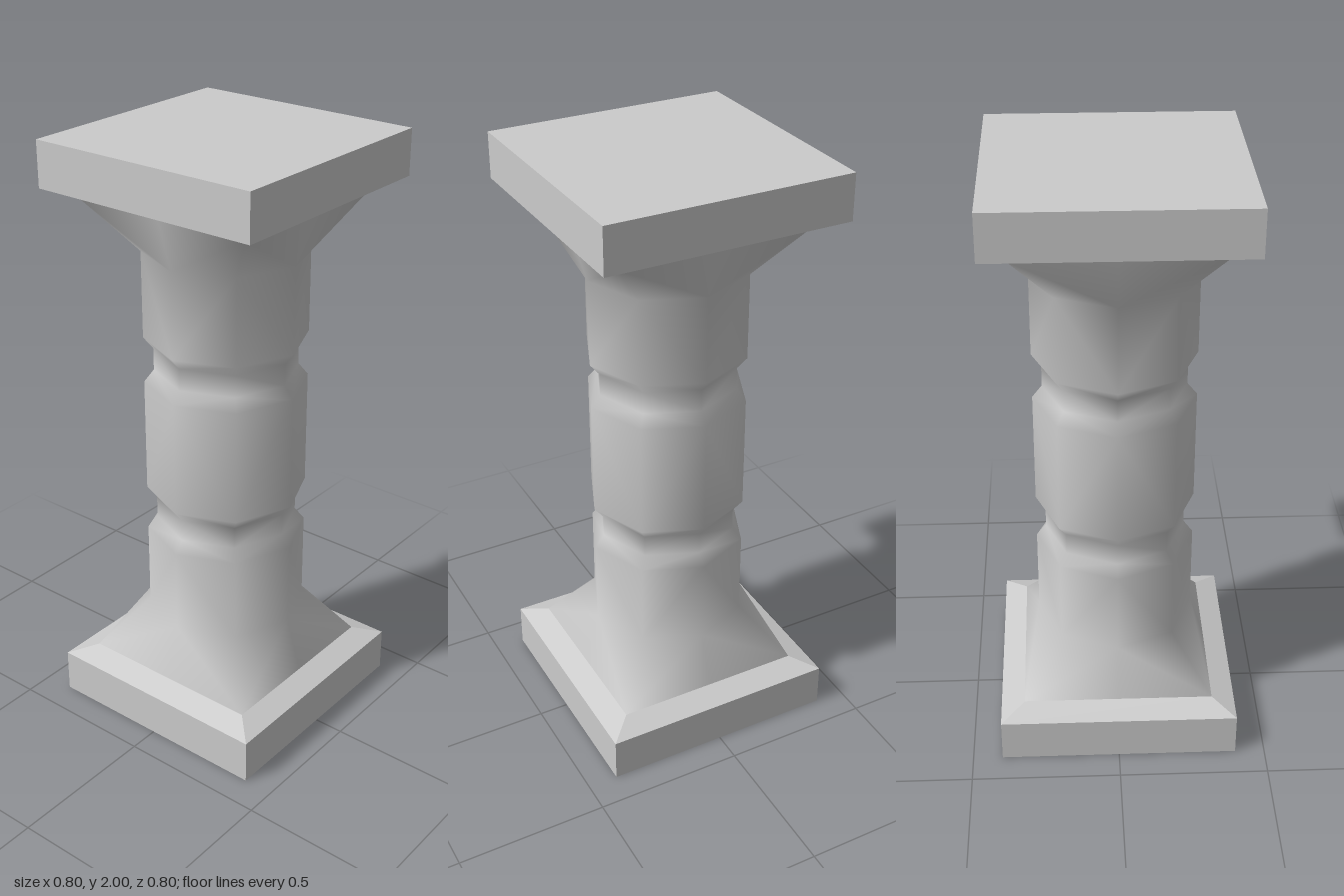
import * as THREE from 'three';

const SIDES = 8;

// Shaft rings from bottom to top: [y, half width, square?]
const lowerRings = [
  [0.18, 0.32, true],
  [0.36, 0.267],
  [0.65, 0.267],
  [0.69, 0.235],
  [0.765, 0.235],
  [0.805, 0.267],
];
const rings = [
  ...lowerRings,
  ...lowerRings.map(([y, r, square]) => [2 - y, r, square]).reverse(),
];

// Octagonal shaft lofted out to a square at both ends
function shaftGeometry() {
  const positions = [];
  const index = [];
  for (const [y, r, square] of rings) {
    for (let k = 0; k < SIDES; k++) {
      const a = (k / SIDES) * Math.PI * 2;
      const radius = square && k % 2 ? r * Math.SQRT2 : r;
      positions.push(radius * Math.sin(a), y, radius * Math.cos(a));
    }
  }
  for (let i = 0; i < rings.length - 1; i++) {
    const top = i >= rings.length / 2;
    for (let k = 0; k < SIDES; k++) {
      const next = (k + 1) % SIDES;
      const la = i * SIDES + k, lb = i * SIDES + next;
      const ua = la + SIDES, ub = lb + SIDES;
      // Split each quad so the flares fan from the side points to the corners
      if ((k % 2 === 1) !== top) index.push(la, lb, ub, la, ub, ua);
      else index.push(la, lb, ua, lb, ub, ua);
    }
  }
  const geometry = new THREE.BufferGeometry();
  geometry.setAttribute('position', new THREE.Float32BufferAttribute(positions, 3));
  geometry.setIndex(index);
  geometry.computeVertexNormals();
  return geometry;
}

export function createModel() {
  const group = new THREE.Group();
  const smooth = new THREE.MeshStandardMaterial({ color: 0xcccccc });
  const flat = new THREE.MeshStandardMaterial({ color: 0xcccccc, flatShading: true });

  const add = (name, geometry, material, y = 0) => {
    const mesh = new THREE.Mesh(geometry, material);
    mesh.name = name;
    mesh.position.y = y;
    group.add(mesh);
  };

  add('shaft', shaftGeometry(), smooth);

  // Square slab with a sloped shoulder at each end
  const slab = new THREE.BoxGeometry(0.8, 0.15, 0.8);
  const shoulder = (topHalf, bottomHalf) =>
    new THREE.CylinderGeometry(topHalf * Math.SQRT2, bottomHalf * Math.SQRT2, 0.03, 4, 1, true)
      .rotateY(Math.PI / 4);
  add('baseSlab', slab, flat, 0.075);
  add('baseShoulder', shoulder(0.32, 0.4), flat, 0.165);
  add('capitalSlab', slab, flat, 1.925);
  add('capitalShoulder', shoulder(0.4, 0.32), flat, 1.835);

  return group;
}
